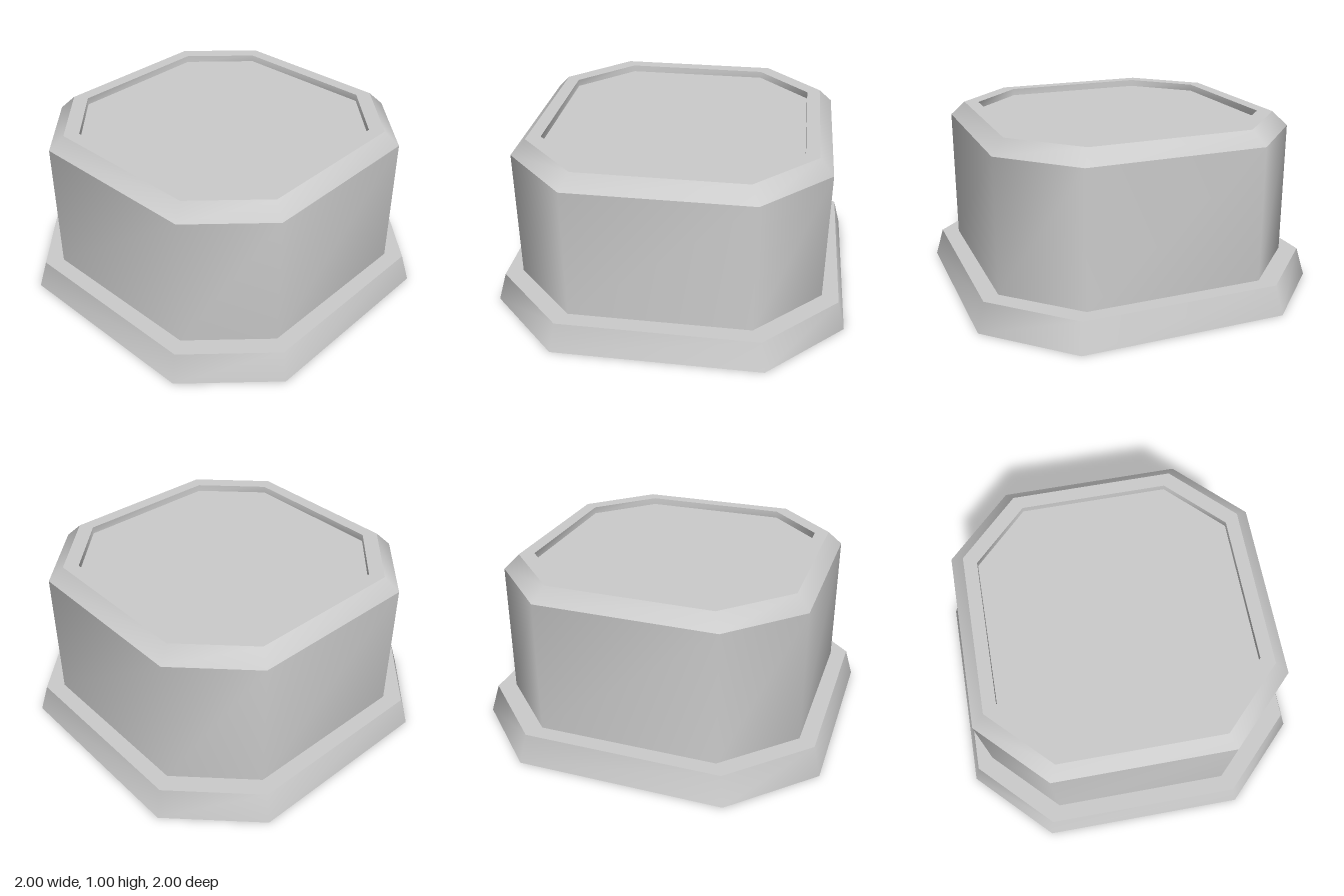
import * as THREE from 'three';

const CORNER = 0.58; // half length of a long side relative to the half width

// Corners of a chamfered square, counter-clockwise seen from above, as [x, z]
function octagon(r) {
  const c = r * CORNER;
  return [[-c, r], [c, r], [r, c], [r, -c], [c, -r], [-c, -r], [-r, -c], [-r, c]];
}

// Closed band between two octagons, smooth around its circumference
function bandGeometry([r0, y0], [r1, y1]) {
  const positions = [], index = [];
  for (const [r, y] of [[r0, y0], [r1, y1]]) {
    for (const [x, z] of octagon(r)) positions.push(x, y, z);
  }
  for (let i = 0; i < 8; i++) {
    const j = (i + 1) % 8;
    index.push(i, j, j + 8, i, j + 8, i + 8);
  }
  const geometry = new THREE.BufferGeometry();
  geometry.setAttribute('position', new THREE.Float32BufferAttribute(positions, 3));
  geometry.setIndex(index);
  geometry.computeVertexNormals();
  return geometry;
}

export function createModel() {
  const group = new THREE.Group();
  group.name = 'octagonalCap';
  const material = new THREE.MeshStandardMaterial({ color: 0xcccccc, side: THREE.DoubleSide });

  const add = (name, geometry) => {
    const mesh = new THREE.Mesh(geometry, material);
    mesh.name = name;
    group.add(mesh);
    return mesh;
  };

  // Thin shell, open below: [half width, height] from the foot up into the recess
  const profile = [[1, 0], [0.957, 0.163], [0.865, 0.163], [0.865, 0.92], [0.79, 1], [0.715, 1], [0.715, 0.96]];
  const names = ['flange', 'flangeLedge', 'wall', 'topBevel', 'topRim', 'recessWall'];
  names.forEach((name, i) => add(name, bandGeometry(profile[i], profile[i + 1])));

  // Sunken top panel
  const shape = new THREE.Shape(octagon(0.715).map(([x, z]) => new THREE.Vector2(x, -z)));
  const panel = add('topPanel', new THREE.ShapeGeometry(shape));
  panel.rotation.x = -Math.PI / 2;
  panel.position.y = 0.96;

  return group;
}
